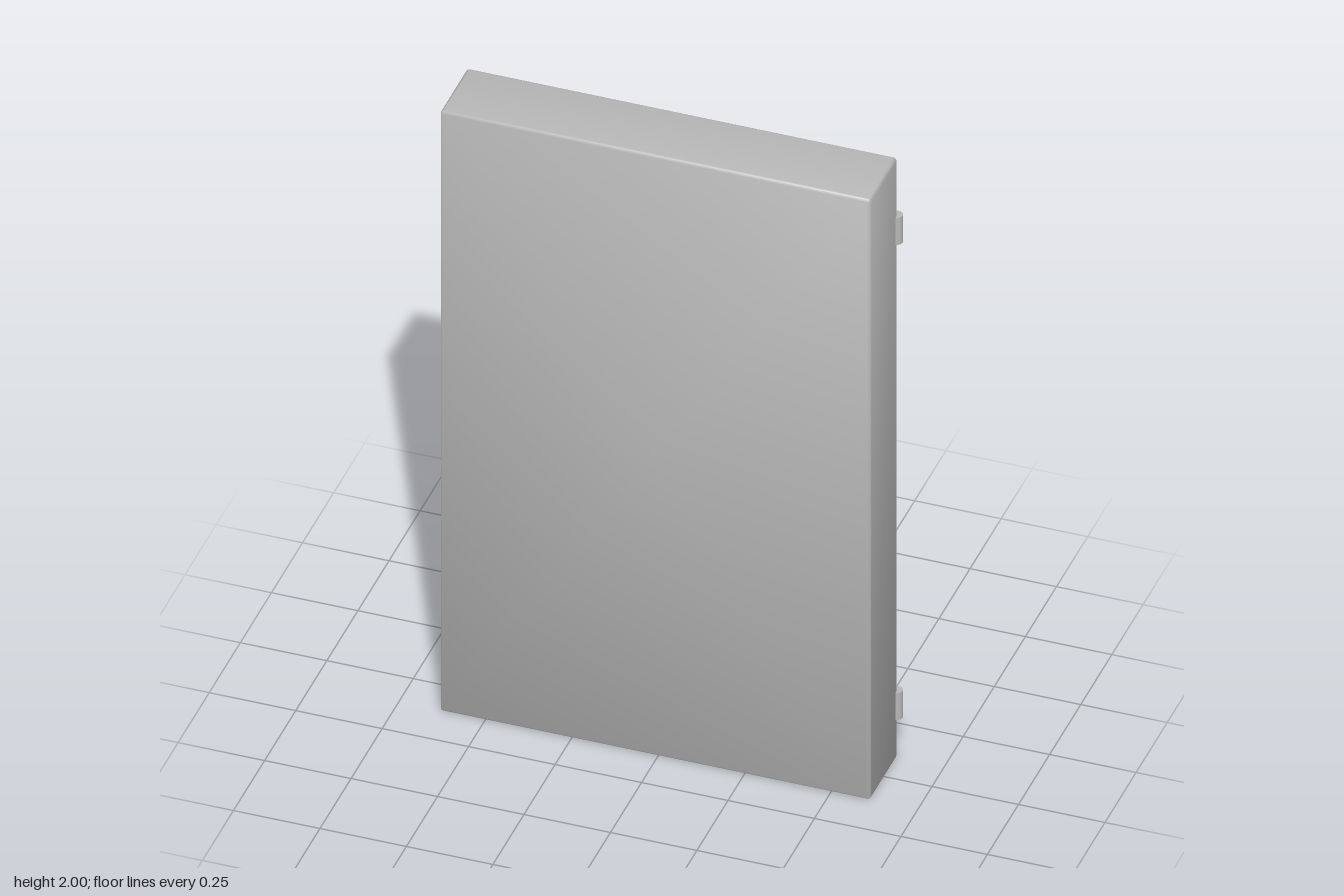
import * as THREE from 'three';
import { toCreasedNormals } from 'three/addons/utils/BufferGeometryUtils.js';

const X0 = -0.63, X1 = 0.614, Y0 = 0, Y1 = 2, BACK = -0.1, FRONT = 0.12;
const T = 0.01; // sheet thickness
const R = 0.01; // bend radius
const STEPS = 4; // segments per rounded corner

// Counter-clockwise rounded rectangle, as seen from the front
function ring(x0, x1, y0, y1, r, z) {
  const pts = [];
  const corners = [[x1 - r, y1 - r], [x0 + r, y1 - r], [x0 + r, y0 + r], [x1 - r, y0 + r]];
  corners.forEach(([cx, cy], c) => {
    for (let i = 0; i <= STEPS; i++) {
      const a = (c + i / STEPS) * Math.PI / 2;
      pts.push([cx + r * Math.cos(a), cy + r * Math.sin(a), z]);
    }
  });
  return pts;
}

const inset = (d, r, z) => ring(X0 + d, X1 - d, Y0 + d, Y1 - d, r, z);

// Joins consecutive rings with quads, facing away from the sheet
function loft(rings) {
  const pos = [];
  for (let k = 0; k < rings.length - 1; k++) {
    const a = rings[k], b = rings[k + 1], n = a.length;
    for (let i = 0; i < n; i++) {
      const j = (i + 1) % n;
      pos.push(...a[i], ...b[i], ...b[j], ...a[i], ...b[j], ...a[j]);
    }
  }
  const g = new THREE.BufferGeometry();
  g.setAttribute('position', new THREE.Float32BufferAttribute(pos, 3));
  return toCreasedNormals(g, 0.6);
}

export function createModel() {
  const model = new THREE.Group();
  const steel = new THREE.MeshStandardMaterial({ color: 0xb8b8b8 });
  steel.name = 'grey steel';

  // Folded sheet: front skin, bent edges, side walls, back lip, hollow inside
  const cx = (X0 + X1) / 2, cy = (Y0 + Y1) / 2;
  const rings = [ring(cx, cx, cy, cy, 0, FRONT)];
  for (let i = 0; i <= STEPS; i++) {
    const a = i / STEPS * Math.PI / 2;
    const d = R * (1 - Math.sin(a));
    rings.push(inset(d, R - d, FRONT - R + R * Math.cos(a)));
  }
  for (let i = 0; i <= STEPS; i++) {
    const a = i / STEPS * Math.PI / 2;
    const d = R * (1 - Math.cos(a));
    rings.push(inset(d, R - d, BACK + R - R * Math.sin(a)));
  }
  // Opening in the back, then the inner cavity
  rings.push(ring(-0.582, 0.558, 0.15, 1.795, 0.015, BACK));
  rings.push(ring(-0.582, 0.558, 0.15, 1.795, 0.015, BACK + T));
  rings.push(inset(T, 0, BACK + T));
  rings.push(inset(T, 0, FRONT - T));
  rings.push(ring(cx, cx, cy, cy, 0, FRONT - T));
  const door = new THREE.Mesh(loft(rings), steel);
  door.name = 'doorPanel';
  model.add(door);

  // Hinge barrels on the rear left edge
  const barrel = new THREE.CylinderGeometry(0.018, 0.018, 0.09, 24);
  [['lowerHinge', 0.178], ['upperHinge', 1.762]].forEach(([name, y]) => {
    const hinge = new THREE.Mesh(barrel, steel);
    hinge.name = name;
    hinge.position.set(0.611, y, -0.101);
    model.add(hinge);
  });

  return model;
}
